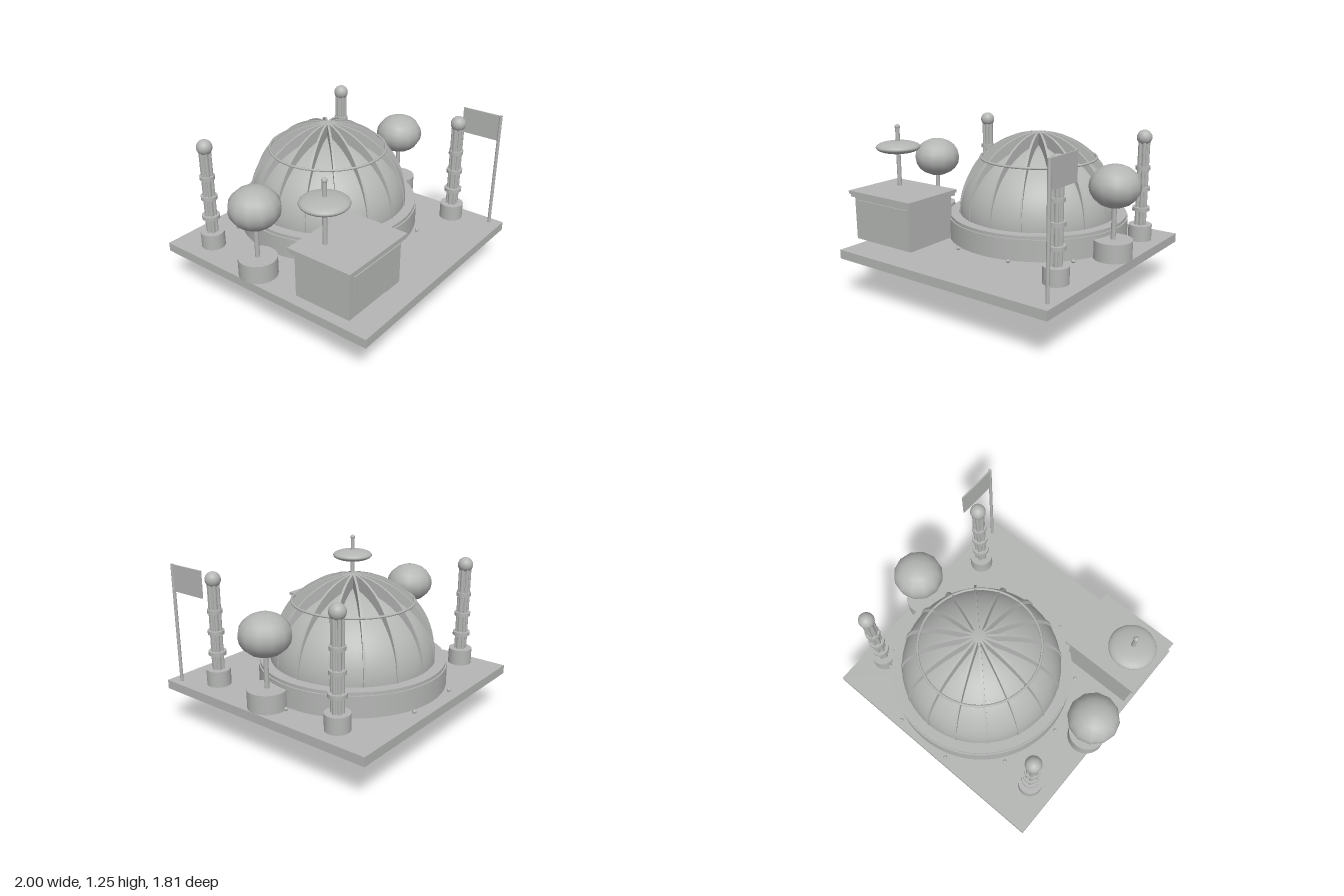
import * as THREE from 'three';

const stone = new THREE.MeshStandardMaterial({ color: 0xb4b6b4 });
stone.name = 'pale grey';

function add(parent, name, geometry, x = 0, y = 0, z = 0) {
  const mesh = new THREE.Mesh(geometry, stone);
  mesh.name = name;
  mesh.position.set(x, y, z);
  parent.add(mesh);
  return mesh;
}

// Box and upright cylinder given by their lower and upper heights
const box = (p, name, x0, x1, y0, y1, z0, z1) =>
  add(p, name, new THREE.BoxGeometry(x1 - x0, y1 - y0, z1 - z0), (x0 + x1) / 2, (y0 + y1) / 2, (z0 + z1) / 2);
const post = (p, name, r, y0, y1, x = 0, z = 0, sides = 32) =>
  add(p, name, new THREE.CylinderGeometry(r, r, y1 - y0, sides), x, (y0 + y1) / 2, z);

function group(parent, name, x, z) {
  const g = new THREE.Group();
  g.name = name;
  g.position.set(x, 0, z);
  parent.add(g);
  return g;
}

// Globe with radial fins, hoop, collar and bolts
function buildDome(parent) {
  const g = group(parent, 'dome', 0.088, -0.187);
  add(g, 'domeShell', new THREE.SphereGeometry(0.59, 64, 40), 0, 0.6, 0).scale.y = 0.85;
  for (let i = 0; i < 8; i++) {
    const disc = new THREE.CylinderGeometry(0.595, 0.595, 0.016, 72);
    disc.rotateX(Math.PI / 2).rotateY((i * Math.PI) / 8);
    add(g, 'fin', disc, 0, 0.6, 0);
  }
  const hoop = new THREE.TorusGeometry(0.431, 0.009, 8, 64).rotateX(Math.PI / 2);
  add(g, 'hoop', hoop, 0, 1.01, 0);

  // Collar: stepped square ring
  const shape = new THREE.Shape().absarc(0, 0, 0.674, 0, Math.PI * 2);
  const lip = new THREE.Shape().absarc(0, 0, 0.664, 0, Math.PI * 2);
  for (const [name, s, y0, y1] of [['collar', shape, 0.42, 0.575], ['collarLip', lip, 0.575, 0.598]]) {
    s.holes.push(new THREE.Path().absarc(0, 0, 0.575, 0, Math.PI * 2, true));
    const ring = new THREE.ExtrudeGeometry(s, { depth: y1 - y0, bevelEnabled: false, curveSegments: 64 });
    add(g, name, ring.rotateX(-Math.PI / 2), 0, y0, 0);
  }
  for (let i = 0; i < 10; i++) {
    const a = (i * Math.PI) / 5;
    add(g, 'bolt', new THREE.SphereGeometry(0.014, 12, 8), 0.71 * Math.cos(a), 0.43, 0.71 * Math.sin(a));
  }
}

// Clustered column with bands and a ball on top
function buildColumn(parent, x, z) {
  const g = group(parent, 'column', x, z);
  post(g, 'columnFoot', 0.087, 0.39, 0.508);
  post(g, 'columnCore', 0.034, 0.5, 1.13);
  for (let i = 0; i < 6; i++) {
    const a = (i * Math.PI) / 3;
    post(g, 'columnPipe', 0.014, 0.5, 1.13, 0.032 * Math.cos(a), 0.032 * Math.sin(a), 10);
  }
  [0.63, 0.785, 0.94].forEach((y, i) => post(g, 'columnBand', 0.064 - i * 0.005, y - 0.014, y + 0.014));
  add(g, 'columnBall', new THREE.SphereGeometry(0.056, 24, 16), 0, 1.165, 0);
}

// Potted tree
function buildTree(parent, x, z) {
  const g = group(parent, 'tree', x, z);
  post(g, 'planter', 0.136, 0.41, 0.545);
  post(g, 'trunk', 0.017, 0.54, 0.82, 0, 0, 12);
  add(g, 'foliage', new THREE.SphereGeometry(0.18, 12, 10), 0, 0.918, 0).scale.y = 0.83;
}

// Booth with stepped roof, front panel and mast dish
function buildBooth(parent) {
  const g = group(parent, 'booth', 0, 0);
  box(g, 'boothBody', -0.88, -0.335, 0.43, 0.755, 0.325, 0.757);
  box(g, 'roofEdge', -0.905, -0.315, 0.75, 0.772, 0.305, 0.775);
  box(g, 'roofTop', -0.913, -0.305, 0.772, 0.795, 0.295, 0.785);
  box(g, 'counterPanel', -0.835, -0.5, 0.56, 0.73, 0.757, 0.765);
  box(g, 'doorPanel', -0.5, -0.345, 0.435, 0.73, 0.757, 0.765);
  post(g, 'dishMast', 0.016, 0.79, 1.23, -0.73, 0.45, 16);
  add(g, 'dish', new THREE.SphereGeometry(0.163, 32, 16), -0.73, 1.085, 0.45).scale.y = 0.28;
  add(g, 'mastBall', new THREE.SphereGeometry(0.019, 16, 10), -0.73, 1.235, 0.45);
}

export function createModel() {
  const model = new THREE.Group();
  model.name = 'domePavilion';
  box(model, 'base', -0.907, 0.903, 0.308, 0.375, -0.905, 0.905);
  buildDome(model);
  for (const [x, z] of [[-0.73, -0.61], [0.75, -0.58], [0.725, 0.54]]) buildColumn(model, x, z);
  for (const [x, z] of [[-0.82, -0.065], [0.815, -0.035]]) buildTree(model, x, z);
  buildBooth(model);

  // Flag on its pole
  post(model, 'flagPole', 0.012, 0.375, 1.255, 0.845, 0.815, 12);
  box(model, 'flag', 0.84, 0.85, 1.06, 1.253, 0.515, 0.815);
  return model;
}
